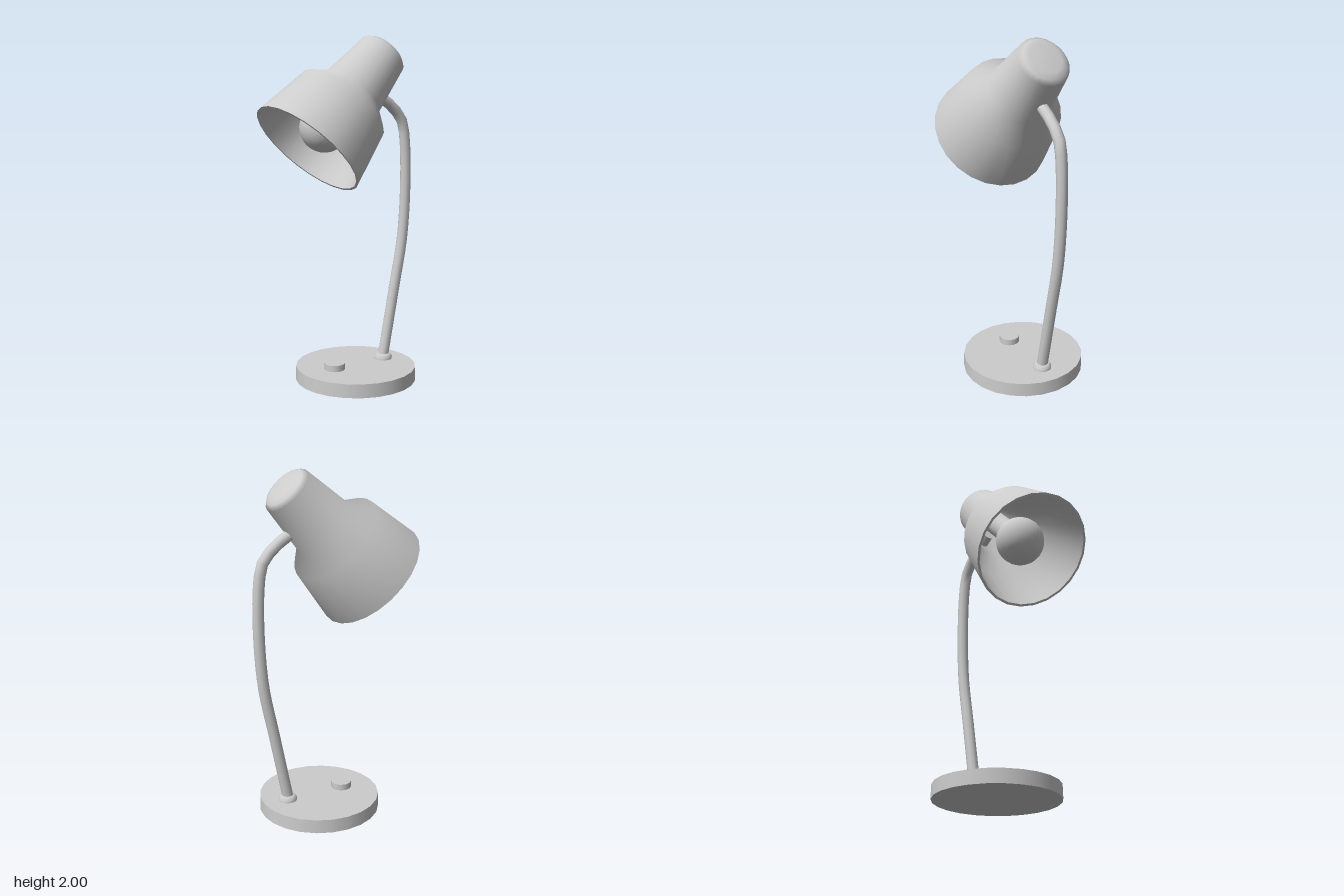
import * as THREE from 'three';

const SIDES = 24;

export function createModel() {
  const lamp = new THREE.Group();
  lamp.name = 'deskLamp';
  const grey = new THREE.MeshStandardMaterial({ color: 0xcccccc });
  grey.name = 'grey';

  const add = (parent, name, geometry, x = 0, y = 0, z = 0) => {
    const mesh = new THREE.Mesh(geometry, grey);
    mesh.name = name;
    mesh.position.set(x, y, z);
    parent.add(mesh);
    return mesh;
  };
  const lathe = (points) =>
    new THREE.LatheGeometry(points.map(([r, y]) => new THREE.Vector2(r, y)), SIDES);

  // Round base with button and arm collar
  add(lamp, 'base', new THREE.CylinderGeometry(0.353, 0.355, 0.08, SIDES), 0, 0.04, -0.09);
  add(lamp, 'switchButton', new THREE.CylinderGeometry(0.06, 0.06, 0.04, 12), 0, 0.097, 0.06);
  add(lamp, 'armCollar', lathe([[0.053, 0.078], [0.053, 0.095], [0.04, 0.112], [0, 0.112]]), 0, 0, -0.297);

  // Curved arm running from the collar into the back of the shade
  const armPath = new THREE.CatmullRomCurve3(
    [
      [0.08, -0.293], [0.5, -0.375], [0.82, -0.436], [1.16, -0.456], [1.4, -0.447],
      [1.51, -0.425], [1.59, -0.358], [1.64, -0.285], [1.69, -0.2],
    ].map(([y, z]) => new THREE.Vector3(0, y, z))
  );
  add(lamp, 'arm', new THREE.TubeGeometry(armPath, 24, 0.032, 10, false));

  // Tilted head, its local y axis running from the rim to the cap
  const head = new THREE.Group();
  head.name = 'head';
  head.position.set(0, 1.377, 0.245);
  head.rotation.x = -Math.PI / 4;
  lamp.add(head);

  const outer = [
    [0.345, 0], [0.288, 0.33], [0.19, 0.423], [0.148, 0.733],
    [0.125, 0.755], [0.09, 0.766], [0, 0.768],
  ];
  const inner = [[0, 0.72], [0.136, 0.72], [0.178, 0.415], [0.275, 0.322], [0.331, 0]];
  add(head, 'shadeOuter', lathe(outer));
  add(head, 'shadeInner', lathe(inner));
  add(head, 'shadeRim', lathe([[0.331, 0], [0.345, 0]]));

  // Bulb and its socket
  add(head, 'bulb', new THREE.SphereGeometry(0.142, 24, 16), 0, 0.167, 0);
  add(head, 'bulbSocket', new THREE.CylinderGeometry(0.07, 0.07, 0.45, 16), 0, 0.5, 0);

  return lamp;
}
